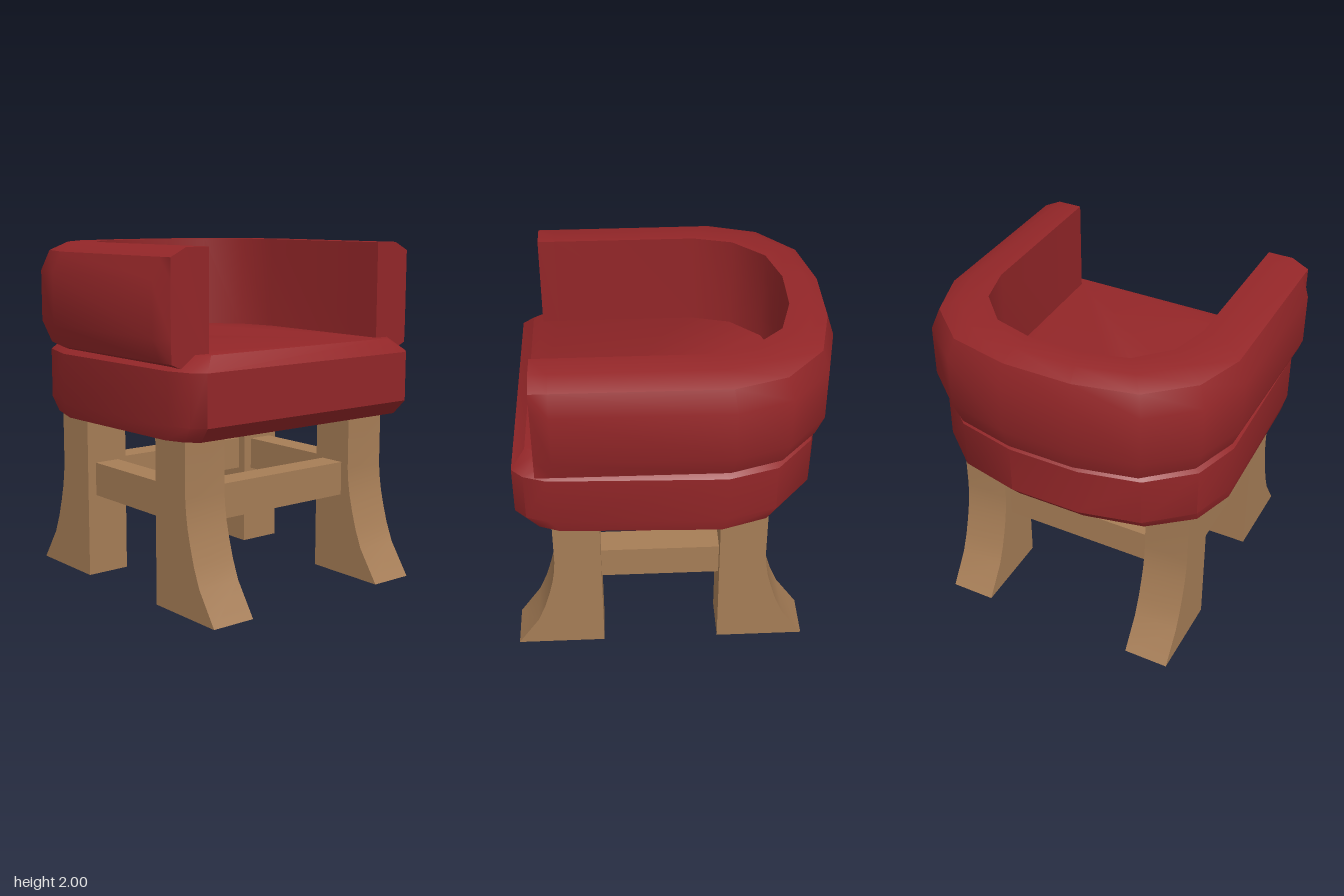
import * as THREE from 'three';
import { toCreasedNormals } from 'three/addons/utils/BufferGeometryUtils.js';

// Skin a series of equal-length loops of [x, y, z] points and cap both ends.
function loft(loops) {
  const n = loops[0].length;
  const index = [];
  for (let i = 0; i < loops.length - 1; i++) {
    for (let j = 0; j < n; j++) {
      const k = (j + 1) % n;
      const a = i * n + j, b = i * n + k, c = b + n, d = a + n;
      index.push(a, b, c, a, c, d);
    }
  }
  const last = (loops.length - 1) * n;
  for (let j = 1; j < n - 1; j++) {
    index.push(0, j + 1, j, last, last + j, last + j + 1);
  }
  const geometry = new THREE.BufferGeometry();
  geometry.setAttribute('position', new THREE.Float32BufferAttribute(loops.flat(2), 3));
  geometry.setIndex(index);
  return toCreasedNormals(geometry, 0.7);
}

export function createModel() {
  const group = new THREE.Group();
  group.name = 'tubArmchair';
  const wood = new THREE.MeshStandardMaterial({ color: 0xa67d56 });
  wood.name = 'lightWood';
  const fabric = new THREE.MeshStandardMaterial({ color: 0x932628 });
  fabric.name = 'redUpholstery';

  const add = (name, geometry, material) => {
    const mesh = new THREE.Mesh(geometry, material);
    mesh.name = name;
    group.add(mesh);
    return mesh;
  };

  // Seat cushion: D-shaped outline stacked with bevelled top and bottom
  const half = [
    [0.875, 0.745], [0.81, 0.81], [0.68, 0.855], [-0.3, 0.885],
    [-0.58, 0.8], [-0.79, 0.56], [-0.87, 0.21],
  ];
  const outline = [
    ...half.map(([x, z]) => [x, -z]),
    ...half.slice().reverse(),
  ];
  const levels = [
    [0.985, 0.915, 0.98], [1.07, 1, 1], [1.36, 1, 1], [1.44, 0.915, 0.89],
  ];
  add('seatCushion', loft(levels.map(([y, sx, sz]) =>
    outline.map(([x, z]) => [x * sx, y, z * sz]))), fabric);

  // Wraparound back and arms: one section swept between inner and outer curves
  const section = [
    [0, 1.4], [0, 2], [0.5, 2], [0.84, 1.95],
    [1, 1.83], [1, 1.53], [0.83, 1.4], [0.6, 1.37],
  ];
  // inner x, inner z, outer x, outer z, widest part of the section
  const stations = [
    [0.74, 0.63, 0.74, 0.925, 0.84],
    [0.64, 0.63, 0.64, 0.925, 1],
    [-0.2, 0.63, -0.33, 0.93, 1],
    [-0.43, 0.57, -0.63, 0.83, 1],
    [-0.61, 0.4, -0.85, 0.58, 1],
    [-0.68, 0.15, -0.93, 0.21, 1],
  ];
  const slice = ([ix, iz, ox, oz, limit], side) => section.map(([t, y]) => {
    const s = Math.min(t, limit);
    return [ix + (ox - ix) * s, y, side * (iz + (oz - iz) * s)];
  });
  add('backAndArms', loft([
    ...stations.map((s) => slice(s, -1)),
    ...stations.slice().reverse().map((s) => slice(s, 1)),
  ]), fabric);

  // Legs: straight inside, curving out to a flared foot
  const flare = [
    [0, 0.66], [0.007, 0.58], [0.02, 0.5], [0.042, 0.41],
    [0.075, 0.3], [0.12, 0.19], [0.248, 0],
  ];
  const legGeometry = (inner, dir) => {
    const shape = new THREE.Shape();
    shape.moveTo(inner, 0);
    shape.lineTo(inner, 1);
    shape.lineTo(inner + dir * 0.27, 1);
    flare.forEach(([out, y]) => shape.lineTo(inner + dir * (0.27 + out), y));
    shape.closePath();
    const geometry = new THREE.ExtrudeGeometry(shape, { depth: 0.27, bevelEnabled: false });
    return toCreasedNormals(geometry, 0.45);
  };
  for (const [end, inner, dir] of [['front', 0.41, 1], ['back', -0.28, -1]]) {
    for (const [side, z] of [['Left', -0.745], ['Right', 0.475]]) {
      add(`${end}${side}Leg`, legGeometry(inner, dir), wood).position.z = z;
    }
    // Cross stretcher joining this pair of legs
    add(`${end}Stretcher`, new THREE.BoxGeometry(0.16, 0.2, 0.95), wood)
      .position.set(inner + dir * 0.135, 0.59, 0);
  }

  // Side stretchers
  for (const [side, z] of [['left', -0.61], ['right', 0.61]]) {
    add(`${side}Stretcher`, new THREE.BoxGeometry(0.69, 0.2, 0.16), wood)
      .position.set(0.065, 0.59, z);
  }

  return group;
}
